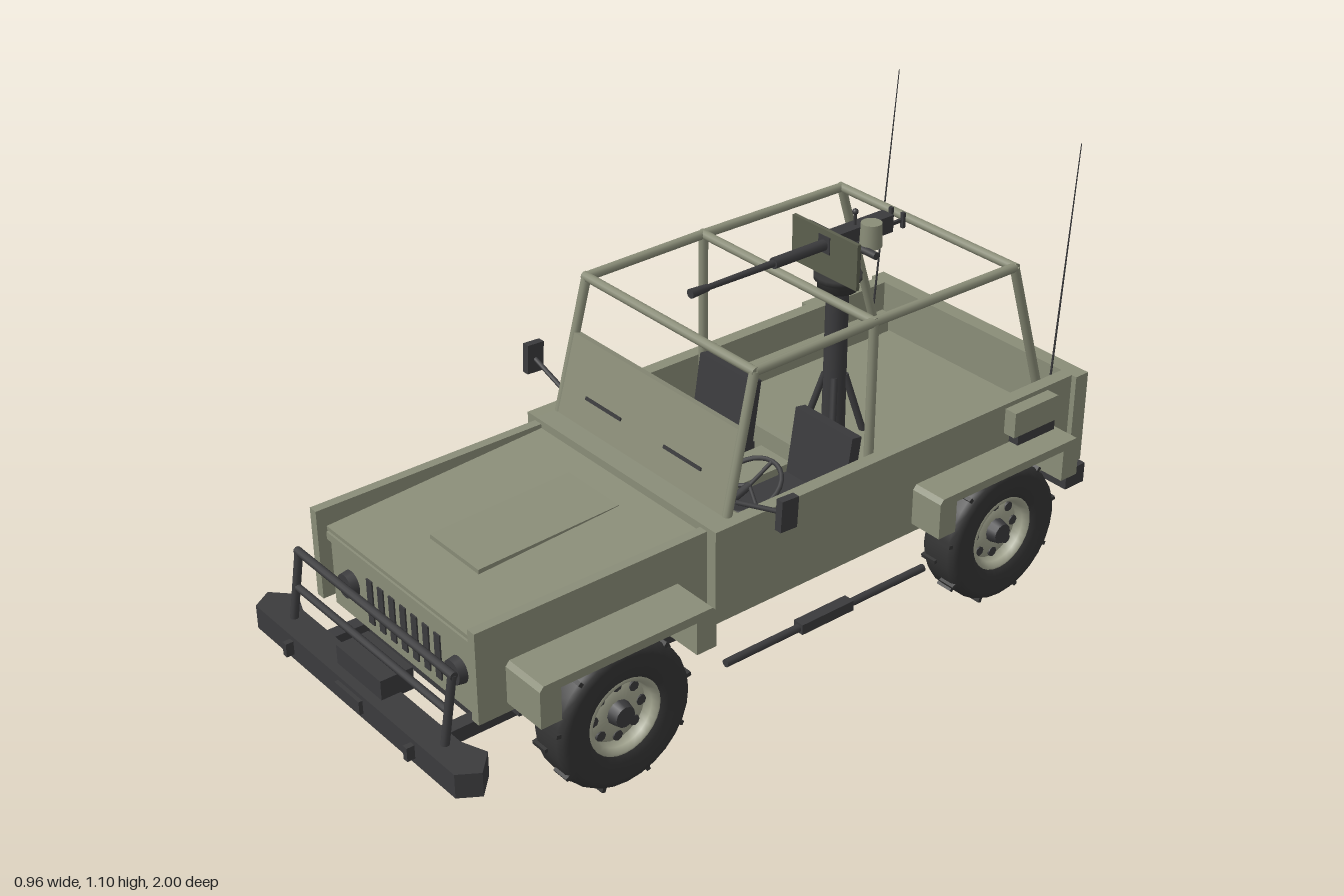
import * as THREE from 'three';

const mat = (color, extra = {}) => new THREE.MeshStandardMaterial({ color, ...extra });
const green = mat(0x8a8d78);
const shade = mat(0x5c5f4e);
const pale = mat(0xa3a590, { side: THREE.DoubleSide });
const dark = mat(0x3b3b3d);
const rubber = mat(0x343434, { side: THREE.DoubleSide });
const SIDES = [-1, 1];

function add(parent, name, geo, m, x = 0, y = 0, z = 0) {
  const mesh = new THREE.Mesh(geo, m);
  mesh.name = name;
  mesh.position.set(x, y, z);
  parent.add(mesh);
  return mesh;
}

// Box given by its limits on each axis
function box(parent, name, m, [x0, x1], [y0, y1], [z0, z1]) {
  return add(parent, name, new THREE.BoxGeometry(x1 - x0, y1 - y0, z1 - z0), m,
    (x0 + x1) / 2, (y0 + y1) / 2, (z0 + z1) / 2);
}

// The same box on both sides of the vehicle
function pair(parent, name, m, [x0, x1], ys, zs) {
  box(parent, name, m, [x0, x1], ys, zs);
  box(parent, name, m, [-x1, -x0], ys, zs);
}

// Round bar between two points
function bar(parent, name, m, a, b, r, r2 = r, n = 10) {
  const p = new THREE.Vector3(...a), q = new THREE.Vector3(...b);
  const dir = q.clone().sub(p);
  const mesh = add(parent, name, new THREE.CylinderGeometry(r2, r, dir.length(), n), m);
  mesh.position.copy(p).add(q).multiplyScalar(0.5);
  mesh.quaternion.setFromUnitVectors(new THREE.Vector3(0, 1, 0), dir.normalize());
}

function lathe(points, n = 28) {
  return new THREE.LatheGeometry(points.map(p => new THREE.Vector2(...p)), n);
}

// Wheel with its axis on local y, outer face towards +y
function makeWheel() {
  const g = new THREE.Group();
  g.name = 'wheel';
  add(g, 'tyre', lathe([[0.098, -0.045], [0.115, -0.055], [0.16, -0.055], [0.174, -0.05], [0.181, -0.036],
    [0.181, 0.036], [0.174, 0.05], [0.16, 0.055], [0.115, 0.055], [0.098, 0.045]]), rubber);
  for (let i = 0; i < 18; i++) {
    const a = i / 18 * Math.PI * 2, up = i % 2 ? 1 : -1;
    const lug = add(g, 'treadLug', new THREE.BoxGeometry(0.014, 0.046, 0.01), rubber,
      Math.cos(a) * 0.181, up * 0.023, Math.sin(a) * 0.181);
    lug.rotation.y = -a;
  }
  add(g, 'rim', lathe([[0.1, -0.045], [0.085, -0.03], [0.08, 0.012], [0.03, 0.022], [0.03, 0.012], [0.078, 0.0],
    [0.082, 0.035], [0.092, 0.048], [0.1, 0.045]]), pale);
  add(g, 'innerDisc', new THREE.CylinderGeometry(0.08, 0.08, 0.01, 24), dark, 0, -0.01, 0);
  add(g, 'hub', new THREE.CylinderGeometry(0.026, 0.036, 0.045, 12), dark, 0, 0.025, 0);
  for (let i = 0; i < 8; i++) {
    const a = i / 8 * Math.PI * 2;
    add(g, 'rimHole', new THREE.CylinderGeometry(0.013, 0.013, 0.012, 8), dark,
      Math.cos(a) * 0.066, 0.013, Math.sin(a) * 0.066);
  }
  return g;
}

// Arch-shaped mudguard, hollow underneath
function makeFender() {
  const s = new THREE.Shape([[-0.24, 0.28], [-0.24, 0.375], [-0.23, 0.387], [0.23, 0.387], [0.24, 0.375],
    [0.24, 0.28], [0.185, 0.28], [0.185, 0.365], [-0.185, 0.365], [-0.185, 0.28]].map(p => new THREE.Vector2(...p)));
  return new THREE.ExtrudeGeometry(s, { depth: 0.125, bevelEnabled: false })
    .rotateY(Math.PI / 2).translate(-0.0625, 0, 0);
}

function buildBody(g) {
  // Tub
  pair(g, 'sidePanel', green, [0.32, 0.355], [0.255, 0.5], [-0.96, 0.23]);
  pair(g, 'frontSidePanel', green, [0.3, 0.325], [0.255, 0.49], [0.23, 0.86]);
  box(g, 'tailgate', green, [-0.37, 0.37], [0.25, 0.5], [-0.968, -0.925]);
  box(g, 'cabFloor', green, [-0.33, 0.33], [0.27, 0.285], [-0.37, 0.2]);
  box(g, 'bedFloor', green, [-0.33, 0.33], [0.35, 0.365], [-0.93, -0.36]);
  box(g, 'bedStep', green, [-0.33, 0.33], [0.27, 0.365], [-0.37, -0.31]);
  pair(g, 'wheelWell', green, [0.295, 0.325], [0.36, 0.42], [-0.92, -0.37]);
  box(g, 'firewall', green, [-0.33, 0.33], [0.27, 0.5], [0.2, 0.23]);
  box(g, 'cowl', green, [-0.355, 0.355], [0.485, 0.5], [0.14, 0.23]);
  bar(g, 'dashboard', green, [-0.32, 0.445, 0.15], [0.32, 0.445, 0.15], 0.05, 0.05, 20);
  box(g, 'transmissionTunnel', green, [-0.055, 0.055], [0.28, 0.36], [-0.26, 0.15]);
  // Hood
  const hood = add(g, 'hood', new THREE.BoxGeometry(0.6, 0.018, 0.61), green, 0, 0.452, 0.53);
  hood.rotation.x = 0.06;
  const bulge = box(g, 'hoodBulge', green, [-0.095, 0.095], [0.446, 0.47], [0.3, 0.69]);
  bulge.rotation.x = 0.035;
  // Grille
  box(g, 'grillePanel', green, [-0.295, 0.295], [0.235, 0.405], [0.8, 0.83]);
  box(g, 'hoodLip', green, [-0.295, 0.295], [0.412, 0.432], [0.81, 0.84]);
  for (let i = -3; i <= 3; i++)
    box(g, 'grilleSlot', dark, [i * 0.045 - 0.011, i * 0.045 + 0.011], [0.26, 0.378], [0.82, 0.834]);
  for (const s of SIDES) {
    const lamp = add(g, 'headlight', new THREE.CylinderGeometry(0.03, 0.034, 0.025, 20), dark, s * 0.215, 0.328, 0.838);
    lamp.rotation.x = Math.PI / 2;
    for (const z of [0.545, -0.625]) add(g, 'fender', makeFender(), green, s * 0.3855, 0, z);
  }
  // Side storage boxes and trays
  pair(g, 'storageBox', green, [0.35, 0.39], [0.42, 0.488], [-0.84, -0.69]);
  pair(g, 'storageTray', dark, [0.35, 0.385], [0.39, 0.42], [-0.84, -0.71]);
}

function buildCab(g) {
  // Folded lower windscreen
  const screen = new THREE.Group();
  screen.name = 'windscreen';
  screen.position.set(0, 0.5, 0.165);
  screen.rotation.x = -0.245;
  g.add(screen);
  box(screen, 'windscreenPanel', green, [-0.312, 0.312], [-0.01, 0.207], [-0.012, 0.008]);
  pair(screen, 'visionSlit', dark, [0.08, 0.215], [0.068, 0.076], [0, 0.012]);
  // Roll cage and mirrors
  for (const s of SIDES) {
    const x = s * 0.305;
    bar(g, 'frontPost', green, [s * 0.315, 0.48, 0.168], [x, 0.836, 0.08], 0.012);
    bar(g, 'roofRail', green, [x, 0.836, 0.08], [x, 0.84, -0.28], 0.012);
    bar(g, 'roofRail', green, [x, 0.84, -0.28], [x, 0.836, -0.74], 0.012);
    bar(g, 'middlePost', green, [x, 0.28, -0.28], [x, 0.84, -0.28], 0.012);
    bar(g, 'rearPost', green, [x, 0.36, -0.89], [x, 0.836, -0.74], 0.012);
    bar(g, 'mirrorArm', dark, [s * 0.31, 0.52, 0.13], [s * 0.465, 0.565, 0.125], 0.006);
    const mirror = add(g, 'mirror', new THREE.BoxGeometry(0.02, 0.078, 0.048), dark, s * 0.472, 0.568, 0.125);
    mirror.rotation.x = -0.05;
    bar(g, 'antenna', dark, [s * 0.318, 0.45, -0.885], [s * 0.312, 1.105, -0.935], 0.003, 0.0012, 6);
    // Seats
    box(g, 'seatCushion', dark, [s * 0.18 - 0.1, s * 0.18 + 0.1], [0.285, 0.36], [-0.26, -0.05]);
    const back = add(g, 'seatBack', new THREE.BoxGeometry(0.2, 0.2, 0.03), dark, s * 0.18, 0.43, -0.25);
    back.rotation.x = -0.15;
  }
  for (const [y, z] of [[0.836, 0.08], [0.84, -0.28], [0.836, -0.74]])
    bar(g, 'roofCrossBar', green, [-0.312, y, z], [0.312, y, z], 0.012);
  // Steering
  const wheel = new THREE.Group();
  wheel.name = 'steeringWheel';
  wheel.position.set(0.19, 0.455, -0.01);
  wheel.rotation.x = -Math.PI / 2 + 0.5;
  g.add(wheel);
  add(wheel, 'steeringRim', new THREE.TorusGeometry(0.08, 0.006, 8, 28), dark);
  for (const a of [Math.PI / 2, Math.PI * 7 / 6, Math.PI * 11 / 6])
    bar(wheel, 'steeringSpoke', dark, [0, 0, 0], [Math.cos(a) * 0.08, Math.sin(a) * 0.08, 0], 0.005);
  bar(g, 'steeringColumn', dark, [0.19, 0.455, -0.01], [0.19, 0.4, 0.14], 0.01);
  bar(g, 'gearLever', dark, [0, 0.35, 0], [0, 0.43, -0.03], 0.005);
}

function buildGun(g) {
  const z = -0.45;
  // Pedestal
  bar(g, 'pedestal', dark, [0, 0.36, z], [0, 0.83, z], 0.03, 0.028, 16);
  add(g, 'pedestalCollar', lathe([[0.03, 0.755], [0.05, 0.757], [0.05, 0.778], [0.06, 0.785], [0.06, 0.797],
    [0, 0.797]], 20), rubber, 0, 0, z);
  for (let i = 0; i < 4; i++) {
    const a = Math.PI / 4 + i * Math.PI / 2, c = Math.cos(a), s = Math.sin(a);
    bar(g, 'pedestalBrace', dark, [c * 0.075, 0.36, z + s * 0.075], [c * 0.025, 0.52, z + s * 0.025], 0.009);
  }
  box(g, 'cradle', dark, [-0.025, 0.025], [0.8, 0.875], [z - 0.05, z + 0.04]);
  // Gun
  bar(g, 'barrel', dark, [0, 0.886, -0.4], [0, 0.886, -0.02], 0.01, 0.007);
  bar(g, 'barrelJacket', dark, [0, 0.886, -0.41], [0, 0.886, -0.24], 0.014);
  bar(g, 'muzzle', dark, [0, 0.886, -0.04], [0, 0.886, 0.012], 0.009, 0.012);
  box(g, 'receiver', dark, [-0.02, 0.02], [0.865, 0.91], [-0.61, -0.4]);
  pair(g, 'gunGrip', dark, [0.016, 0.026], [0.868, 0.908], [-0.645, -0.637]);
  pair(g, 'gripArm', dark, [0.012, 0.02], [0.882, 0.89], [-0.64, -0.6]);
  bar(g, 'rearSight', dark, [0, 0.9, -0.5], [0, 0.942, -0.5], 0.004);
  add(g, 'sightBead', new THREE.SphereGeometry(0.008, 10, 8), dark, 0, 0.944, -0.5);
  bar(g, 'trunnion', dark, [-0.12, 0.882, -0.46], [0.12, 0.882, -0.46], 0.01);
  bar(g, 'ammoDrum', green, [0.073, 0.885, -0.485], [0.073, 0.946, -0.485], 0.028, 0.026, 16);
  // Shield plate
  box(g, 'gunShield', shade, [-0.115, 0.115], [0.805, 0.925], [-0.412, -0.402]);
}

function buildChassis(g) {
  pair(g, 'chassisRail', dark, [0.215, 0.25], [0.168, 0.205], [-0.9, 0.89]);
  for (const z of [-0.88, -0.4, -0.1, 0.25, 0.78])
    box(g, 'crossMember', dark, [-0.23, 0.23], [0.172, 0.2], [z - 0.015, z + 0.015]);
  box(g, 'skidPlate', dark, [-0.13, 0.13], [0.16, 0.18], [-0.1, 0.2]);
  // Axles, differentials and drive shafts
  for (const [z, x] of [[0.548, -0.17], [-0.628, 0]]) {
    bar(g, 'axle', dark, [-0.36, 0.19, z], [0.36, 0.19, z], 0.015);
    add(g, 'differential', new THREE.SphereGeometry(0.042, 16, 12), dark, x, 0.194, z);
    bar(g, 'driveShaft', dark, [x, 0.19, z], [x * 0.4, 0.2, 0.05], 0.012);
    for (const s of SIDES) {
      const w = makeWheel();
      w.position.set(s * 0.384, 0.19, z);
      w.rotation.z = -s * Math.PI / 2;
      g.add(w);
      box(g, 'leafSpring', dark, [s * 0.28 - 0.018, s * 0.28 + 0.018], [0.205, 0.22], [z - 0.19, z + 0.19]);
    }
  }
  // Side steps
  for (const s of SIDES) {
    bar(g, 'sideStep', dark, [s * 0.415, 0.19, -0.37], [s * 0.415, 0.19, 0.25], 0.01);
    box(g, 'stepPad', dark, [s * 0.415 - 0.015, s * 0.415 + 0.015], [0.178, 0.205], [-0.13, 0.03]);
  }
  // Front bumper with pointed ends
  const outline = [[-0.405, 0.98], [-0.437, 0.93], [-0.385, 0.88], [-0.32, 0.905]];
  const full = [...outline, ...outline.map(([x, z]) => [-x, z]).reverse()];
  const bumper = new THREE.ExtrudeGeometry(new THREE.Shape(full.map(p => new THREE.Vector2(...p))),
    { depth: 0.062, bevelEnabled: false }).rotateX(Math.PI / 2);
  add(g, 'frontBumper', bumper, dark, 0, 0.232, 0);
  pair(g, 'towEye', dark, [0.24, 0.255], [0.185, 0.22], [0.97, 1.0]);
  box(g, 'bumperPlate', dark, [-0.05, 0.05], [0.185, 0.22], [0.97, 0.99]);
  box(g, 'winch', dark, [-0.09, 0.09], [0.225, 0.282], [0.87, 0.955]);
  // Brush guard
  for (const s of SIDES)
    bar(g, 'guardPost', dark, [s * 0.307, 0.225, 0.937], [s * 0.307, 0.4, 0.908], 0.01);
  bar(g, 'guardTopBar', dark, [-0.315, 0.4, 0.908], [0.315, 0.4, 0.908], 0.01);
  bar(g, 'guardMiddleBar', dark, [-0.305, 0.312, 0.922], [0.305, 0.312, 0.922], 0.009);
  // Rear bumper and hitch
  box(g, 'rearBumper', dark, [-0.375, 0.375], [0.18, 0.235], [-0.982, -0.915]);
  pair(g, 'rearBumperMount', dark, [0.215, 0.25], [0.2, 0.27], [-0.93, -0.88]);
  box(g, 'hitch', dark, [-0.018, 0.018], [0.188, 0.22], [-1.0, -0.98]);
}

export function createModel() {
  const root = new THREE.Group();
  root.name = 'utilityVehicle';
  for (const [name, build] of [['body', buildBody], ['cab', buildCab], ['mountedGun', buildGun], ['chassis', buildChassis]]) {
    const g = new THREE.Group();
    g.name = name;
    build(g);
    root.add(g);
  }
  return root;
}
